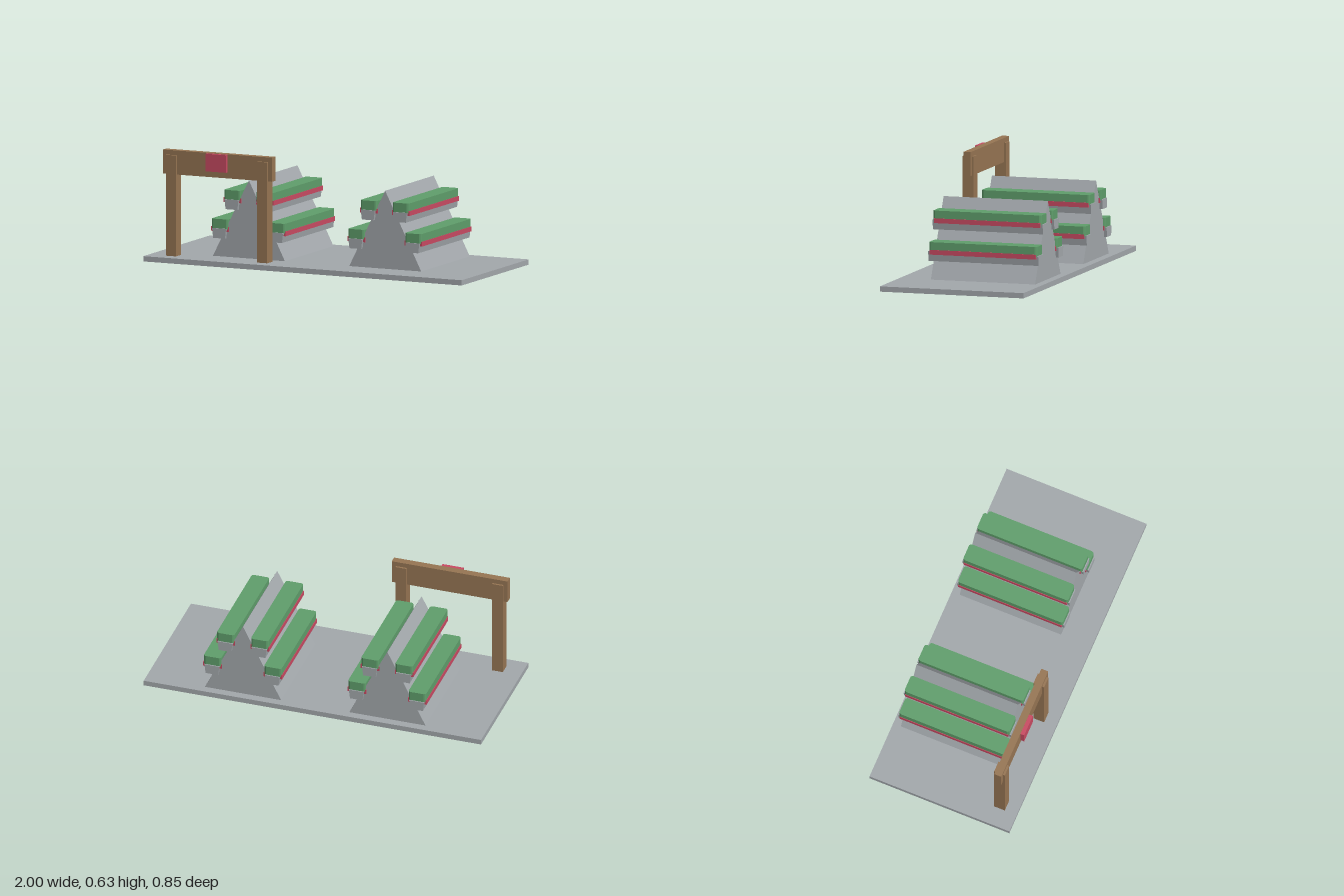
import * as THREE from 'three';

const material = (name, color) => {
  const m = new THREE.MeshStandardMaterial({ color });
  m.name = name;
  return m;
};

export function createModel() {
  const grey = material('grey', 0xa2a7ab);
  const green = material('green', 0x5f9e6b);
  const red = material('red', 0xc84a62);
  const brown = material('brown', 0x967553);

  const model = new THREE.Group();
  model.name = 'plantDisplay';

  const add = (parent, name, geometry, mat) => {
    const mesh = new THREE.Mesh(geometry, mat);
    mesh.name = name;
    parent.add(mesh);
    return mesh;
  };
  // Box given by its lower and upper limits on each axis
  const box = (parent, name, mat, [x0, x1], [y0, y1], [z0, z1]) => {
    const mesh = add(parent, name, new THREE.BoxGeometry(x1 - x0, y1 - y0, z1 - z0), mat);
    mesh.position.set((x0 + x1) / 2, (y0 + y1) / 2, (z0 + z1) / 2);
    return mesh;
  };
  // Flat outline extruded and centred along its depth
  const prism = (points, depth) => {
    const shape = new THREE.Shape(points.map(([x, y]) => new THREE.Vector2(x, y)));
    const geometry = new THREE.ExtrudeGeometry(shape, { depth, bevelEnabled: false });
    return geometry.translate(0, 0, -depth / 2);
  };

  // Ground slab
  box(model, 'base', grey, [-1, 1], [0, 0.03], [-0.427, 0.427]);

  // Planting block with its corners cut in plan
  const w = 0.052, l = 0.321, c = 0.012, d = 0.004;
  const plantGeometry = prism([
    [-w + c, -l], [w - c, -l], [w - d, -l + d], [w, -l + c],
    [w, l - c], [w - d, l - d], [w - c, l], [-w + c, l],
    [-w + d, l - d], [-w, l - c], [-w, -l + c], [-w + d, -l + d],
  ], 0.056).rotateX(-Math.PI / 2);
  const troughGeometry = prism([[-0.037, 0], [0.037, 0], [0.044, 0.056], [-0.044, 0.056]], 0.654);
  const frameGeometry = prism([[-0.226, 0.03], [0.226, 0.03], [0, 0.475]], 0.619);

  // Two A-shaped racks, each with two tiers of planters on both slopes
  for (const x of [-0.429, 0.427]) {
    const rack = new THREE.Group();
    rack.name = 'rack';
    rack.position.set(x, 0, -0.07);
    model.add(rack);
    add(rack, 'rackFrame', frameGeometry, grey);
    for (const side of [-1, 1]) {
      for (const [offset, y] of [[0.179, 0.135], [0.101, 0.304]]) {
        const planter = new THREE.Group();
        planter.name = 'planter';
        planter.position.set(side * offset, y, 0);
        rack.add(planter);
        add(planter, 'trough', troughGeometry, grey);
        add(planter, 'plants', plantGeometry, green).position.y = 0.081;
        box(planter, 'trim', red, [-0.055, 0.055], [0.038, 0.065], [-0.315, 0.315]);
      }
    }
  }

  // Entrance gate with a plain sign plate
  const gate = new THREE.Group();
  gate.name = 'gate';
  model.add(gate);
  for (const x of [-0.862, -0.289]) {
    box(gate, 'gatePost', brown, [x - 0.032, x + 0.032], [0.03, 0.605], [0.29, 0.355]);
  }
  box(gate, 'gateBeam', brown, [-0.918, -0.232], [0.495, 0.632], [0.301, 0.343]);
  box(gate, 'gateSign', red, [-0.638, -0.511], [0.53, 0.63], [0.343, 0.366]);

  return model;
}
